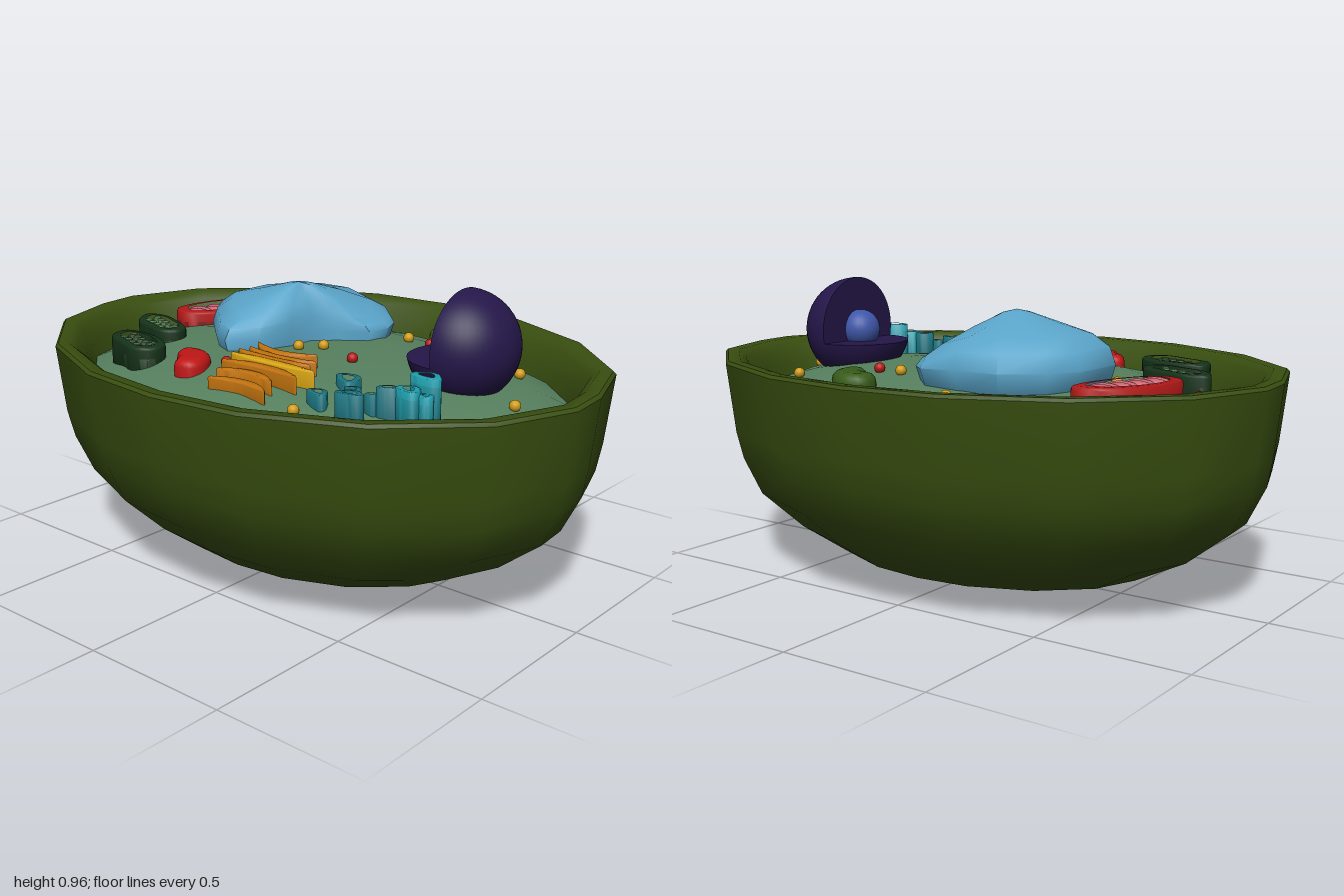
import * as THREE from 'three';
import { toCreasedNormals } from 'three/addons/utils/BufferGeometryUtils.js';

// Height of the domed cytoplasm at a share of its radius
const domeHeight = s => 0.695 - 0.11 * s ** 3.5;

function mesh(geometry, color, name, parent) {
  const m = new THREE.Mesh(geometry, new THREE.MeshStandardMaterial({ color, roughness: 0.8 }));
  m.name = name;
  parent.add(m);
  return m;
}

// Skin between rings of [x, y, z] points
function loft(rings, crease) {
  const n = rings[0].length, index = [];
  for (let i = 0; i < rings.length - 1; i++) {
    for (let j = 0; j < n; j++) {
      const a = i * n + j, b = i * n + (j + 1) % n;
      index.push(a, a + n, b, b, a + n, b + n);
    }
  }
  const g = new THREE.BufferGeometry();
  g.setAttribute('position', new THREE.Float32BufferAttribute(rings.flat(2), 3));
  g.setIndex(index);
  return toCreasedNormals(g, crease);
}

// Smooth closed outline through [x, z] points
function outline(points) {
  const curve = new THREE.CatmullRomCurve3(points.map(([x, z]) => new THREE.Vector3(x, -z, 0)), true);
  return curve.getPoints(28).slice(0, -1).map(p => new THREE.Vector2(p.x, p.y));
}

// Rounded slab rooted below the cytoplasm surface, optionally hollowed
function slab(points, top, bevel, holeScale = 0) {
  const pts = outline(points), base = 0.58;
  const shape = new THREE.Shape(pts);
  if (holeScale) {
    const c = pts.reduce((s, p) => s.add(p), new THREE.Vector2()).divideScalar(pts.length);
    shape.holes.push(new THREE.Path(pts.map(p => p.clone().sub(c).multiplyScalar(holeScale).add(c))));
  }
  const g = new THREE.ExtrudeGeometry(shape, {
    depth: top - base - 2 * bevel, bevelThickness: bevel, bevelSize: bevel, bevelOffset: -bevel, bevelSegments: 3,
  });
  g.rotateX(-Math.PI / 2).translate(0, base + bevel, 0);
  return toCreasedNormals(g, 0.9);
}

function oval(cx, cz, rx, rz, turn) {
  return Array.from({ length: 10 }, (_, i) => {
    const a = i / 10 * Math.PI * 2, k = 1 + 0.12 * Math.sin(3 * a);
    const x = rx * k * Math.cos(a), z = rz * k * Math.sin(a);
    return [cx + x * Math.cos(turn) - z * Math.sin(turn), cz + x * Math.sin(turn) + z * Math.cos(turn)];
  });
}

function addWall(root) {
  // Faceted oval plan; the back half is the front half turned around
  const half = [[1, 0.07], [0.9, 0.33], [0.65, 0.565], [0.31, 0.712], [0, 0.747],
    [-0.31, 0.712], [-0.65, 0.565], [-0.9, 0.33], [-0.985, 0.085]];
  const plan = [...half, ...half.map(([x, z]) => [-x, -z])];
  const ring = ([sx, sz, y]) => plan.map(([x, z]) => [x * sx, y, z * sz]);
  mesh(loft([
    [0, 0, 0], [0.2, 0.18, 0.005], [0.39, 0.365, 0.02], [0.57, 0.54, 0.063], [0.75, 0.7, 0.152],
    [0.9, 0.86, 0.27], [0.96, 0.93, 0.39], [0.975, 0.965, 0.48], [1, 1, 0.703], [0.99, 0.988, 0.713],
    [0.95, 0.94, 0.712], [0.925, 0.905, 0.69], [0.89, 0.86, 0.63], [0.87, 0.83, 0.55],
  ].map(ring), 0.75), 0x394f10, 'cellWall', root);
  mesh(loft([1.01, 0.97, 0.92, 0.85, 0.75, 0.6, 0.4, 0.2, 0].map(s => ring([0.88 * s, 0.83 * s, domeHeight(s)])), 1),
    0x56805e, 'cytoplasm', root);
}

function addVacuole(root) {
  // Crescent rising to a peak above its hollow side
  const plan = [[-0.30, -0.40], [-0.15, -0.41], [-0.02, -0.405], [0.04, -0.35], [0.07, -0.28], [0.06, -0.19],
    [-0.02, -0.12], [-0.085, -0.06], [-0.09, 0.04], [-0.13, 0.15], [-0.22, 0.215], [-0.30, 0.175],
    [-0.43, 0.06], [-0.48, -0.02], [-0.475, -0.22], [-0.42, -0.31]];
  const ring = ([s, y, drop]) => plan.map(([px, pz]) => {
    const x = -0.14 + (px + 0.14) * s, z = -0.06 + (pz + 0.06) * s;
    return [x, y - drop * (Math.max(0, x + 0.1) + 0.4 * Math.max(0, z)), z];
  });
  mesh(loft([[0.8, 0.6, 0], [0.94, 0.66, 0], [1, 0.73, 0.05], [0.94, 0.785, 0.3], [0.77, 0.822, 0.5],
    [0.45, 0.848, 0.4], [0.15, 0.878, 0.2], [0, 0.887, 0]].map(ring), 0.8), 0x5ba6cb, 'vacuole', root);
}

function addNucleus(root) {
  const g = new THREE.Group();
  g.name = 'nucleus';
  g.position.set(0.522, 0.783, -0.064);
  root.add(g);
  const r = 0.177, cut = -0.038, theta = Math.acos(cut / r), dip = theta - Math.PI / 2, color = 0x25174a;
  mesh(new THREE.SphereGeometry(r, 40, 14, 0, Math.PI * 2, theta, Math.PI - theta), color, 'nucleusLowerHalf', g);
  mesh(new THREE.SphereGeometry(r, 24, 16, Math.PI / 2, Math.PI, 0, theta), color, 'nucleusUpperQuarter', g);
  mesh(new THREE.CircleGeometry(r * Math.sin(theta), 40).rotateX(-Math.PI / 2), color, 'nucleusLowerCut', g).position.y = cut;
  const face = new THREE.Shape();
  face.absarc(0, 0, r, -dip, Math.PI + dip, false);
  mesh(new THREE.ShapeGeometry(face, 32).rotateY(-Math.PI / 2), color, 'nucleusUprightCut', g);
  mesh(new THREE.SphereGeometry(0.067, 24, 16), 0x3e56a8, 'nucleolus', g).position.set(-0.012, 0, 0);
}

function addMitochondria(root) {
  const plan = [[-0.62, -0.35], [-0.53, -0.36], [-0.515, -0.30], [-0.54, -0.18], [-0.6, -0.06],
    [-0.66, -0.02], [-0.725, -0.05], [-0.735, -0.13], [-0.70, -0.25]];
  mesh(slab(plan, 0.712, 0.01, 0.82), 0xb01818, 'mitochondrionShell', root);
  mesh(slab(plan, 0.685, 0.01), 0x7a1216, 'mitochondrionBase', root);
  // Inner folds laid across the long axis
  for (let i = 0; i < 8; i++) {
    const t = i / 7, fold = mesh(new THREE.SphereGeometry(1, 14, 10), 0xc45f6c, 'mitochondrionFold', root);
    fold.scale.set(0.056, 0.025, 0.019);
    fold.position.set(-0.585 - 0.075 * t + (i % 2 ? 0.012 : -0.012), 0.69, -0.3 + 0.22 * t);
    fold.rotation.y = i % 2 ? 0.45 : 0.2;
  }
  mesh(slab([[-0.31, 0.30], [-0.25, 0.285], [-0.19, 0.31], [-0.15, 0.38], [-0.165, 0.43], [-0.22, 0.44],
    [-0.26, 0.39], [-0.305, 0.345]], 0.712, 0.025), 0xc01616, 'smallMitochondrion', root);
}

function addChloroplasts(root) {
  const plans = [
    [[-0.75, 0.07], [-0.68, 0.045], [-0.6, 0.07], [-0.5, 0.12], [-0.485, 0.17], [-0.53, 0.21], [-0.62, 0.185], [-0.71, 0.15]],
    [[-0.63, 0.28], [-0.57, 0.26], [-0.47, 0.275], [-0.38, 0.33], [-0.375, 0.39], [-0.43, 0.425], [-0.52, 0.395], [-0.62, 0.35]],
  ];
  plans.forEach((plan, k) => {
    mesh(slab(plan, 0.71, 0.01, 0.8), 0x16331a, 'chloroplastShell', root);
    mesh(slab(plan, 0.682, 0.01), 0x1a3a1e, 'chloroplastBase', root);
    // Two rows of stacked discs
    for (let i = 0; i < 10; i++) {
      const u = (i % 5) / 4 - 0.5, v = i < 5 ? -0.02 : 0.02;
      const disc = mesh(new THREE.CylinderGeometry(0.014, 0.014, 0.04, 12), k ? 0x4a6b4a : 0x5f8a58, 'chloroplastDisc', root);
      disc.position.set((k ? -0.505 : -0.62) + u * 0.14, 0.685, (k ? 0.34 : 0.125) + u * 0.055 + v);
    }
  });
  mesh(slab([[0.13, -0.49], [0.2, -0.52], [0.28, -0.47], [0.31, -0.4], [0.295, -0.345], [0.245, -0.345],
    [0.2, -0.40], [0.135, -0.425]], 0.705, 0.03), 0x385c1a, 'greenPlastid', root);
}

function addGolgi(root) {
  // [x start, x end, z, bow, top, color]
  const orange = 0xc0720f, yellow = 0xd9a514;
  [[-0.11, 0.14, 0.198, 0.025, 0.735, orange], [-0.09, 0.19, 0.25, 0.015, 0.735, orange],
    [-0.1, 0.2, 0.285, 0.01, 0.735, orange], [-0.09, 0.255, 0.32, 0, 0.735, yellow],
    [-0.08, 0.23, 0.36, -0.012, 0.725, orange], [-0.06, 0.17, 0.4, -0.015, 0.71, orange],
    [-0.05, 0.185, 0.448, -0.015, 0.695, orange],
  ].forEach(([x0, x1, z, bow, top, color]) => {
    const at = (t, w) => [x0 + (x1 - x0) * t, z + bow * (1 - 2 * (2 * t - 1) ** 2) + w];
    const plan = [at(0, 0), at(0.2, -0.015), at(0.5, -0.018), at(0.8, -0.015), at(1, 0),
      at(0.8, 0.014), at(0.5, 0.017), at(0.2, 0.014)];
    mesh(slab(plan, top, 0.007), color, 'golgiFold', root);
  });
}

function addReticulum(root) {
  // [x, z, rx, rz, turn, top]
  [[0.32, 0.24, 0.055, 0.035, 0.6, 0.71], [0.32, 0.38, 0.04, 0.025, 0.3, 0.7], [0.39, 0.305, 0.032, 0.022, 0.4, 0.705],
    [0.44, 0.38, 0.045, 0.025, -0.2, 0.72], [0.475, 0.325, 0.02, 0.016, 0, 0.71], [0.52, 0.305, 0.035, 0.02, -0.5, 0.735],
    [0.605, 0.235, 0.052, 0.032, 0.1, 0.77], [0.585, 0.295, 0.042, 0.03, 0.3, 0.74], [0.63, 0.275, 0.025, 0.025, 0, 0.725],
  ].forEach(([x, z, rx, rz, turn, top], i) => {
    const plan = oval(x, z, rx, rz, turn);
    mesh(slab(plan, top, 0.004, 0.6), i < 6 ? 0x1b7480 : 0x1f9dac, 'reticulumTube', root);
    if (i > 5) mesh(slab(plan, top - 0.02, 0.004), 0x1b8794, 'reticulumCore', root);
  });
}

function addVesicles(root) {
  const gold = [[-0.16, -0.46], [0.14, -0.3], [0.58, -0.3], [-0.52, -0.08], [0.01, -0.01], [-0.05, 0.045],
    [0.74, -0.02], [0.665, 0.315], [0.29, 0.455]];
  const red = [[-0.28, -0.44], [0.24, -0.285], [-0.735, 0.04], [0.18, 0.05], [-0.12, 0.31]];
  const ball = new THREE.SphereGeometry(0.018, 16, 12);
  for (const [list, color, name] of [[gold, 0xcf9a14, 'goldVesicle'], [red, 0xb81818, 'redVesicle']]) {
    for (const [x, z] of list) {
      mesh(ball, color, name, root).position.set(x, domeHeight(Math.hypot(x / 0.88, z / 0.62)) + 0.01, z);
    }
  }
}

export function createModel() {
  const root = new THREE.Group();
  root.name = 'plantCell';
  for (const add of [addWall, addVacuole, addNucleus, addMitochondria, addChloroplasts, addGolgi, addReticulum, addVesicles]) add(root);
  return root;
}
